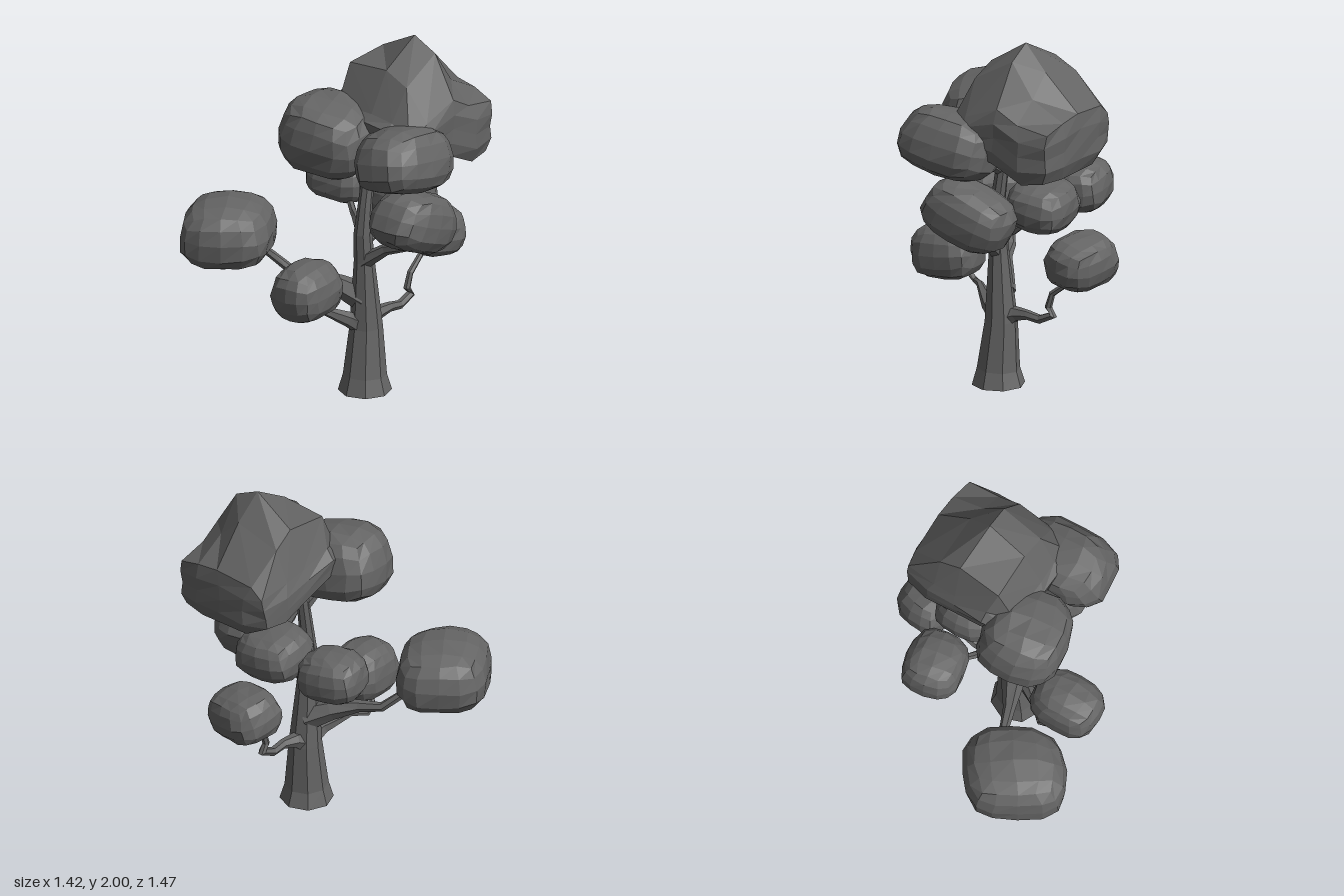
import * as THREE from 'three';

const material = new THREE.MeshStandardMaterial({ color: 0x646464, flatShading: true });

function addMesh(group, name, geometry) {
  geometry.computeVertexNormals();
  const mesh = new THREE.Mesh(geometry, material);
  mesh.name = name;
  group.add(mesh);
}

// Tapered limb: a cylinder whose rings follow points [x, y, z, radius]
function limb(points, sides = 6) {
  const n = points.length - 1;
  const centers = points.map(p => new THREE.Vector3(p[0], p[1], p[2]));
  const up = new THREE.Vector3(0, 1, 0);
  const turns = centers.map((c, i) => {
    const tangent = centers[Math.min(i + 1, n)].clone().sub(centers[Math.max(i - 1, 0)]);
    return new THREE.Quaternion().setFromUnitVectors(up, tangent.normalize());
  });
  const geometry = new THREE.CylinderGeometry(1, 1, 1, sides, n);
  const pos = geometry.attributes.position;
  const v = new THREE.Vector3();
  for (let k = 0; k < pos.count; k++) {
    v.fromBufferAttribute(pos, k);
    const i = Math.round((v.y + 0.5) * n);
    v.y = 0;
    v.multiplyScalar(points[i][3]).applyQuaternion(turns[i]).add(centers[i]);
    pos.setXYZ(k, v.x, v.y, v.z);
  }
  return geometry;
}

// Repeatable offset in -1..1, the same for all corners that share a point
function hash(x, y, z, seed) {
  const s = Math.sin(x * 12.99 + y * 78.23 + z * 37.72 + seed * 4.17) * 43758.5453;
  return (s - Math.floor(s)) * 2 - 1;
}

// Leaf clump: rounded cube with a domed top, roughened, turned, then fitted between two corners
function clump({ min, max, turn = [0, 0, 0], seed, power = 3.1, topPower = 2.5, shape }) {
  const geometry = new THREE.BoxGeometry(2, 2, 2, 4, 4, 4);
  const pos = geometry.attributes.position;
  const v = new THREE.Vector3();
  const rotation = new THREE.Euler(...turn);
  const lo = new THREE.Vector3(...min), size = new THREE.Vector3(...max).sub(lo);
  const rough = 0.03;
  for (let k = 0; k < pos.count; k++) {
    v.fromBufferAttribute(pos, k);
    const { x, y, z } = v;
    const p = y > 0 ? topPower : power;
    v.divideScalar((Math.abs(x) ** p + Math.abs(y) ** p + Math.abs(z) ** p) ** (1 / p));
    v.x += rough * hash(x, y, z, seed);
    v.y += rough * hash(x, y, z, seed + 1);
    v.z += rough * hash(x, y, z, seed + 2);
    if (shape) shape(v, x, y, z);
    v.multiply(size).applyEuler(rotation);
    pos.setXYZ(k, v.x, v.y, v.z);
  }
  geometry.computeBoundingBox();
  const box = geometry.boundingBox;
  const have = box.getSize(new THREE.Vector3());
  geometry.translate(-box.min.x, -box.min.y, -box.min.z);
  geometry.scale(size.x / have.x, size.y / have.y, size.z / have.z);
  geometry.translate(lo.x, lo.y, lo.z);
  return geometry;
}

// Crown: top heights on a grid (rows along x, columns along z), underside rising towards -x
const crownTop = [
  [1.6, 1.63, 1.64, 1.62, 1.54],
  [1.68, 1.84, 1.86, 1.8, 1.62],
  [1.64, 1.87, 2.0, 1.93, 1.7],
  [1.62, 1.8, 1.86, 1.74, 1.63],
  [1.58, 1.64, 1.66, 1.64, 1.6],
];
const crownBottom = [1.48, 1.43, 1.38, 1.3, 1.32];
function crownShape(v, gx, gy, gz) {
  const top = crownTop[gx * 2 + 2][gz * 2 + 2];
  const bottom = crownBottom[gx * 2 + 2] + (gz === -1 ? 0.03 : 0);
  v.y = THREE.MathUtils.lerp(bottom, top, (gy + 1) / 2);
  // Peaks drift off the grid, the lower back edge is tucked in
  if (gy === 1) {
    v.x += [0, -0.1, 0.06, -0.06, 0.06][gx * 2 + 2];
    v.z += [0, -0.2, 0.1, 0.03, 0][gz * 2 + 2];
  }
  if (gy === -1 && gz === -1) v.z += 0.22;
}

export function createModel() {
  const tree = new THREE.Group();
  tree.name = 'tree';

  // Trunk with flared foot
  addMesh(tree, 'trunk', limb([
    [0.01, 0, 0.16, 0.145], [0.01, 0.09, 0.16, 0.118], [0.025, 0.36, 0.155, 0.09],
    [0.01, 0.74, 0.155, 0.056], [0.0, 0.9, 0.155, 0.05], [0.01, 1.05, 0.16, 0.04],
    [0.04, 1.25, 0.16, 0.035], [0.12, 1.5, 0.2, 0.025],
  ], 8));

  // Branches, each reaching into its clump
  const branches = {
    lowerLeftBranch: [[0.03, 0.37, 0.15, 0.07], [0.12, 0.41, 0.15, 0.04], [0.2, 0.42, 0.16, 0.027],
      [0.28, 0.41, 0.16, 0.025], [0.365, 0.45, 0.16, 0.024], [0.335, 0.49, 0.16, 0.02],
      [0.36, 0.57, 0.16, 0.018], [0.5, 0.68, 0.14, 0.015]],
    lowerRightBranch: [[0.02, 0.36, 0.15, 0.06], [-0.08, 0.42, 0.12, 0.042], [-0.2, 0.485, 0.03, 0.02],
      [-0.27, 0.475, -0.03, 0.016], [-0.31, 0.51, -0.03, 0.015], [-0.37, 0.6, 0.06, 0.015]],
    backBranch: [[0.02, 0.52, 0.15, 0.08], [-0.05, 0.58, 0.03, 0.06], [-0.12, 0.62, -0.1, 0.034],
      [-0.17, 0.64, -0.22, 0.026], [-0.23, 0.72, -0.3, 0.023], [-0.32, 0.82, -0.38, 0.02]],
    upperBackBranch: [[0.0, 0.9, 0.15, 0.035], [0.08, 0.93, 0.03, 0.025], [0.15, 0.92, -0.06, 0.02],
      [0.24, 1.0, -0.2, 0.016]],
    upperLeftBranch: [[0.0, 0.84, 0.15, 0.035], [0.1, 0.87, 0.15, 0.022], [0.26, 1.0, 0.14, 0.017]],
    frontBranch: [[0.0, 0.74, 0.16, 0.045], [0.03, 0.84, 0.3, 0.032], [0.04, 0.9, 0.46, 0.028],
      [0.04, 1.0, 0.5, 0.02]],
    upperFrontBranch: [[0.03, 1.2, 0.16, 0.03], [0.0, 1.28, 0.28, 0.024], [-0.06, 1.38, 0.44, 0.018]],
    upperRightBranch: [[0.03, 1.2, 0.16, 0.03], [-0.03, 1.29, 0.12, 0.024], [-0.1, 1.42, 0.04, 0.018]],
  };
  for (const [name, points] of Object.entries(branches)) addMesh(tree, name, limb(points));

  // Leaf clumps
  const clumps = {
    crownClump: { min: [-0.1, 1.3, -0.09], max: [0.62, 2.0, 0.59], seed: 3, power: 7, topPower: 7,
      shape: crownShape },
    upperFrontClump: { min: [-0.34, 1.24, 0.3], max: [0.22, 1.64, 0.73], turn: [-0.2, 0.1, -0.15], seed: 5 },
    upperRightClump: { min: [-0.38, 1.26, -0.24], max: [0.12, 1.7, 0.31], turn: [0.15, 0.3, 0.1], seed: 8 },
    middleFrontClump: { min: [-0.22, 0.86, 0.3], max: [0.31, 1.24, 0.67], turn: [0.05, 0.1, -0.42], seed: 11 },
    middleLeftClump: { min: [0.11, 0.92, -0.05], max: [0.47, 1.2, 0.34], turn: [0.1, 0.1, -0.15], seed: 14 },
    middleBackClump: { min: [0.08, 0.92, -0.44], max: [0.43, 1.2, -0.06], turn: [0.1, 0.25, 0], seed: 17 },
    lowerLeftClump: { min: [0.36, 0.64, -0.06], max: [0.71, 0.93, 0.34], turn: [0.15, -0.2, -0.15], seed: 20 },
    lowerBackClump: { min: [-0.71, 0.69, -0.74], max: [-0.1, 1.06, -0.18], turn: [0, 0.65, 0], seed: 23 },
    lowerRightClump: { min: [-0.56, 0.51, -0.07], max: [-0.17, 0.82, 0.25], turn: [0, 0.1, 0.08], seed: 26 },
  };
  for (const [name, options] of Object.entries(clumps)) addMesh(tree, name, clump(options));

  return tree;
}
